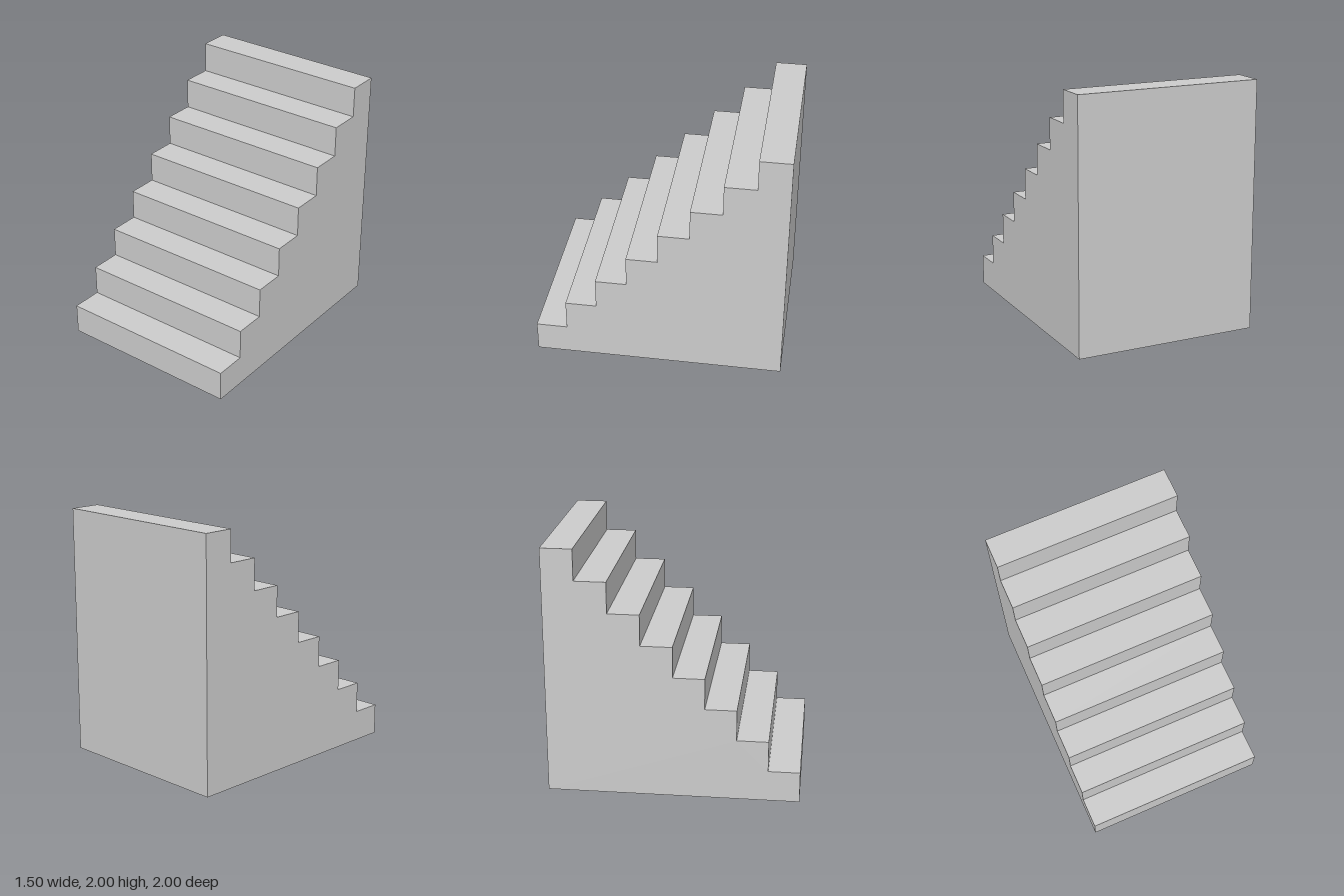
import * as THREE from 'three';

const STEPS = 8;
const RISE = 0.25;
const RUN = 0.25;
const WIDTH = 1.5;

export function createModel() {
  const group = new THREE.Group();
  group.name = 'staircase';

  // Side profile: x of the shape becomes z, with the lowest step at the front
  const profile = new THREE.Shape();
  profile.moveTo(-1, 0);
  profile.lineTo(1, 0);
  for (let i = 0; i < STEPS; i++) {
    const top = (i + 1) * RISE;
    profile.lineTo(1 - i * RUN, top); // riser
    profile.lineTo(1 - (i + 1) * RUN, top); // tread
  }
  profile.closePath();

  // Solid flight of steps, extruded across the width
  const geometry = new THREE.ExtrudeGeometry(profile, { depth: WIDTH, bevelEnabled: false });
  geometry.translate(0, 0, -WIDTH / 2);
  geometry.rotateY(-Math.PI / 2);

  const steps = new THREE.Mesh(
    geometry,
    new THREE.MeshStandardMaterial({ color: 0xcccccc, flatShading: true })
  );
  steps.name = 'steps';
  group.add(steps);
  return group;
}
